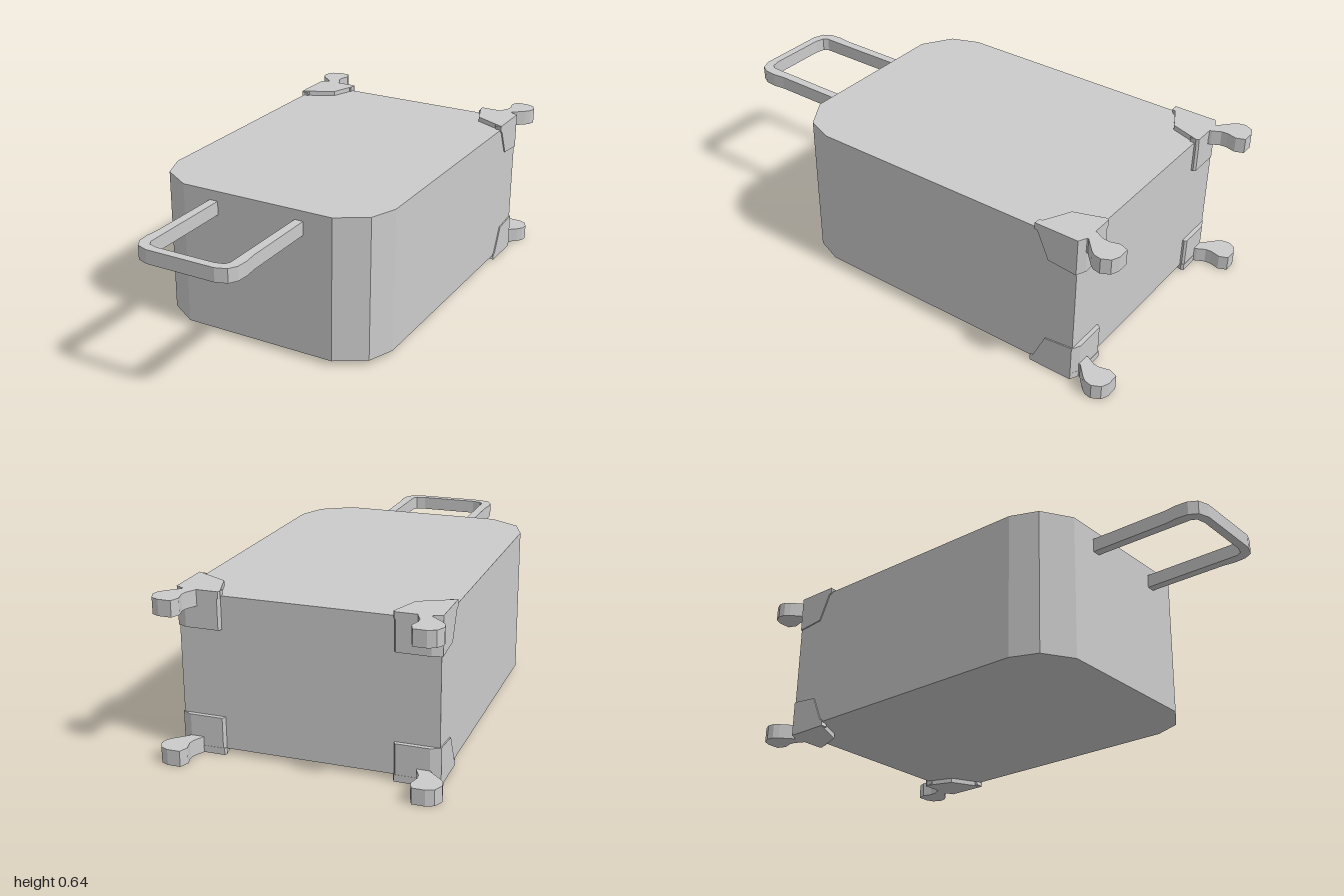
import * as THREE from 'three';

const material = new THREE.MeshStandardMaterial({ color: 0xcccccc, flatShading: true });
const H = 0.637; // full height

// Straight prism from 2D points
function prism(points, depth) {
  const shape = new THREE.Shape(points.map(([x, y]) => new THREE.Vector2(x, y)));
  return new THREE.ExtrudeGeometry(shape, { depth, bevelEnabled: false });
}

// Prism drawn in plan (x, z), spanning y0..y1
function planPrism(points, y0, y1) {
  const g = prism(points.map(([x, z]) => [x, -z]), y1 - y0);
  return g.rotateX(-Math.PI / 2).translate(0, y0, 0);
}

function part(name, geometry) {
  const mesh = new THREE.Mesh(geometry, material);
  mesh.name = name;
  return mesh;
}

// Half outline (positive x) completed by its mirror image
function mirrored(half) {
  return [...half, ...half.map(([x, z]) => [-x, z]).reverse()];
}

// One corner guard with its foot; sx = side, top = upper or lower corner
function corner(sx, top) {
  const group = new THREE.Group();
  group.name = (top ? 'upper' : 'lower') + (sx > 0 ? 'Left' : 'Right') + 'Corner';
  const flipX = (pts) => pts.map(([x, z]) => [x * sx, z]);
  const yAt = (y) => (top ? y : H - y);
  const slab = (pts, a, b) =>
    planPrism(flipX(pts), Math.min(yAt(a), yAt(b)), Math.max(yAt(a), yAt(b)));

  // Cap plate lying on the top or bottom face
  group.add(part('capPlate', slab([
    [0.5, -0.84], [0.5, -0.66], [0.366, -0.728], [0.325, -0.847], [0.33, -0.858], [0.463, -0.858],
  ], 0.61, H)));

  // Plate on the side face, drawn in (-z, y)
  const side = prism([[0.84, 0.635], [0.66, 0.635], [0.722, 0.5], [0.84, 0.488]]
    .map(([x, y]) => [x, yAt(y)]), 0.03);
  side.rotateY(Math.PI / 2).translate(sx > 0 ? 0.47 : -0.5, 0, 0);
  group.add(part('sidePlate', side));

  // Plate on the back face, chamfered at the outer edge
  group.add(part('backPlate', slab([
    [0.5, -0.84], [0.5, -0.82], [0.328, -0.82], [0.328, -0.848], [0.335, -0.857], [0.463, -0.857],
  ], 0.49, 0.634)));

  // Foot with a narrow neck and a rounded knob
  group.add(part('foot', slab([
    [0.41, -0.845], [0.418, -0.868], [0.435, -0.9], [0.437, -0.925], [0.426, -0.965],
    [0.44, -1], [0.49, -1], [0.52, -0.987], [0.537, -0.953], [0.532, -0.925],
    [0.516, -0.905], [0.467, -0.862], [0.467, -0.845],
  ], 0.575, H)));
  return group;
}

export function createModel() {
  const model = new THREE.Group();
  model.name = 'case';

  // Box body with faceted front corners
  model.add(part('body', planPrism(mirrored([
    [0.495, -0.84], [0.495, 0.33], [0.452, 0.442], [0.33, 0.518],
  ]), 0.02, 0.617)));

  // Pull handle: outer outline, then the inner one back
  const outer = mirrored([[0.208, 0.5], [0.208, 0.85], [0.214, 0.9], [0.21, 0.95], [0.19, 0.984], [0.145, 1]]);
  const inner = mirrored([[0.172, 0.5], [0.17, 0.937], [0.158, 0.957], [0.12, 0.966]]);
  model.add(part('handle', planPrism([...outer, ...inner.reverse()], 0.52, 0.576)));

  // Four corner guards with feet
  for (const sx of [1, -1]) for (const top of [true, false]) model.add(corner(sx, top));
  return model;
}
